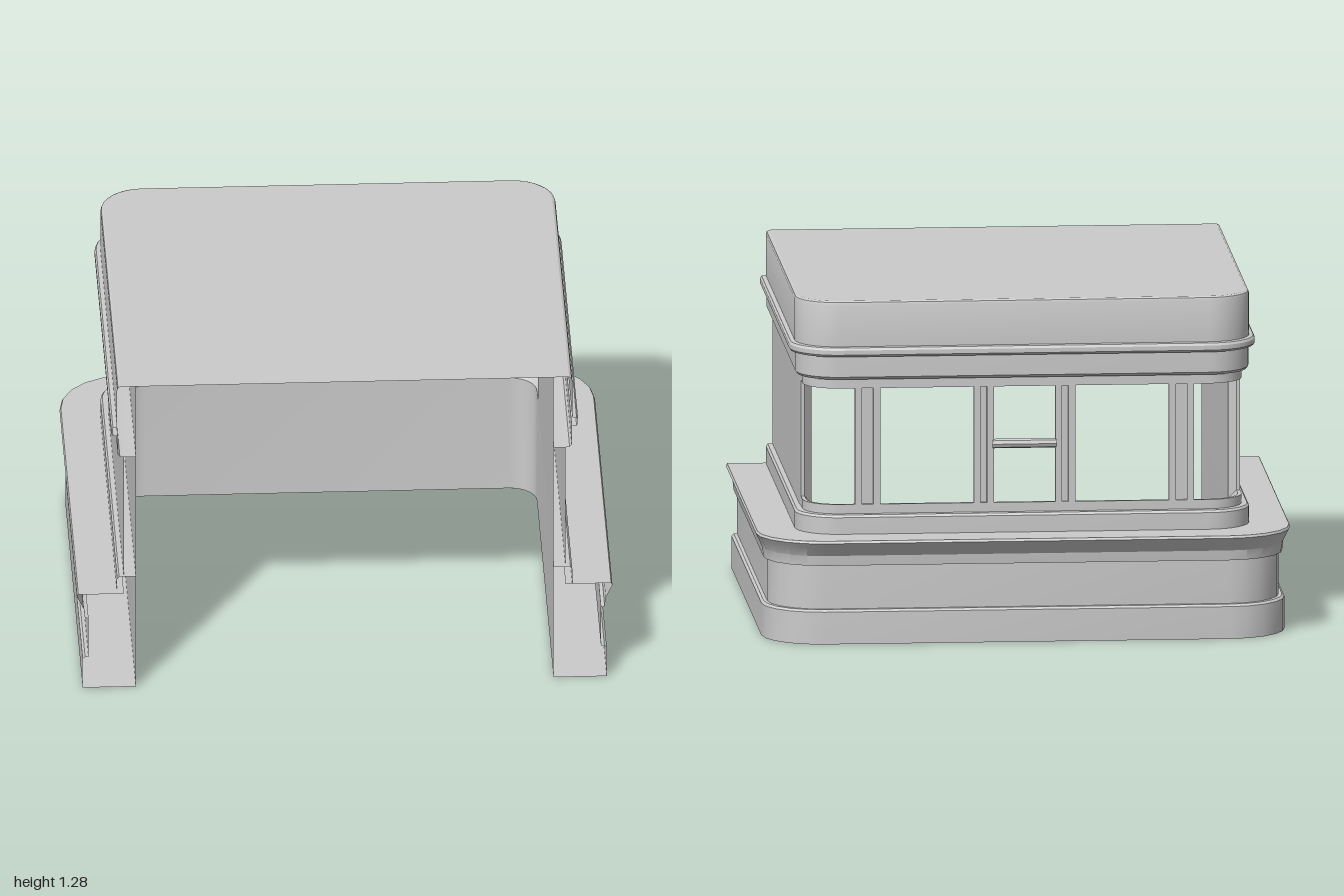
import * as THREE from 'three';
import { toCreasedNormals } from 'three/addons/utils/BufferGeometryUtils.js';

const FRONT = 0.84;
const mat = new THREE.MeshStandardMaterial({ color: 0xcccccc, side: THREE.DoubleSide });

// U-shaped plan line: left side, rounded back corners, right side
function plan(hx, zb, r, n, front) {
  const pts = [[hx, front]];
  for (let i = 0; i <= n; i++) {
    const a = (i / n) * Math.PI / 2;
    pts.push([hx - r + r * Math.cos(a), -(zb - r) - r * Math.sin(a)]);
  }
  return pts.concat(pts.map(([x, z]) => [-x, z]).reverse());
}

// Skin between plan lines; each row is [half width, back depth, corner radius, y]
function sweep(rows, n = 8, front = FRONT) {
  const pos = [], idx = [];
  const count = 2 * (n + 2);
  rows.forEach(([hx, zb, r, y]) => plan(hx, zb, r, n, front).forEach(([x, z]) => pos.push(x, y, z)));
  for (let j = 0; j < rows.length - 1; j++) {
    for (let i = 0; i < count - 1; i++) {
      const a = j * count + i, b = a + 1, c = a + count, d = c + 1;
      idx.push(a, b, d, a, d, c);
    }
  }
  const g = new THREE.BufferGeometry();
  g.setAttribute('position', new THREE.Float32BufferAttribute(pos, 3));
  g.setIndex(idx);
  return toCreasedNormals(g, 0.5);
}

// Vertical post from a plan outline of [x, z] points
function post(points, y0, y1) {
  const shape = new THREE.Shape(points.map(([x, z]) => new THREE.Vector2(x, -z)));
  const g = new THREE.ExtrudeGeometry(shape, { depth: y1 - y0, bevelEnabled: false });
  return g.rotateX(-Math.PI / 2).translate(0, y0, 0);
}

export function createModel() {
  const model = new THREE.Group();
  const add = (name, geometry) => {
    const m = new THREE.Mesh(geometry, mat);
    m.name = name;
    model.add(m);
    return m;
  };
  // Wall rows share one corner centre
  const wall = (hx, y) => [hx, hx - 0.158, hx - 0.69, y];
  const inner = (y) => [0.78, 0.62, 0.1, y];

  // Stepped base with flared ledge
  add('base', sweep([
    inner(0),
    [0.979, 0.8, 0.22, 0],
    [0.979, 0.8, 0.22, 0.122],
    [0.97, 0.79, 0.21, 0.13],
    [0.957, 0.775, 0.2, 0.13],
    [0.957, 0.775, 0.2, 0.295],
    [0.971, 0.795, 0.215, 0.297],
    [0.975, 0.8, 0.22, 0.335],
    [0.994, 0.83, 0.24, 0.375],
    [1.0, 0.84, 0.245, 0.388],
    [0.995, 0.835, 0.24, 0.397],
    [0.825, 0.667, 0.135, 0.397],
  ], 5));

  // Plinth course under the windows
  add('plinth', sweep([
    wall(0.85, 0.397), wall(0.85, 0.46), wall(0.843, 0.469), wall(0.822, 0.47), inner(0.47),
  ]));

  // Upper fascia with half-round band
  add('fascia', sweep([
    inner(0.98), wall(0.825, 0.98), wall(0.84, 0.982), wall(0.848, 0.992), wall(0.848, 1.07),
    wall(0.866, 1.072), wall(0.872, 1.08), wall(0.872, 1.097), wall(0.866, 1.106), wall(0.85, 1.108),
    wall(0.85, 1.265), wall(0.847, 1.275), wall(0.838, 1.28),
  ]));

  // Roof sheet
  const [rw, rd, rr] = wall(0.838, 0);
  const roof = new THREE.Shape(plan(rw, rd, rr, 8, FRONT).map(([x, z]) => new THREE.Vector2(x, -z)));
  add('roof', new THREE.ShapeGeometry(roof).rotateX(-Math.PI / 2).translate(0, 1.28, 0));

  // Interior lining below and above the windows
  add('lowerLining', sweep([inner(0.47), inner(0)]));
  add('upperLining', sweep([inner(1.28), inner(0.98)]));

  // Sill and head rails, splayed toward the inside
  const rail = (y, lip) => sweep([
    wall(0.822, y), wall(0.822, lip), wall(0.808, lip), inner(y),
  ], 8, -0.44);
  add('sillRail', rail(0.47, 0.505));
  add('headRail', rail(0.98, 0.945));

  for (const s of [1, -1]) {
    const side = s > 0 ? 'left' : 'right';
    // Solid side wall, hollow between two skins
    for (const [part, x] of [['OuterWall', 0.825], ['InnerWall', 0.78]]) {
      const g = new THREE.PlaneGeometry(FRONT + 0.44, 0.51).rotateY(s * Math.PI / 2);
      add(side + part, g.translate(s * x, 0.725, (FRONT - 0.44) / 2));
    }
    // Side jamb of the corner window
    add(side + 'Jamb', post([
      [s * 0.825, -0.44], [s * 0.822, -0.472], [s * 0.808, -0.472], [s * 0.78, -0.44],
    ], 0.47, 0.98));
    // Mullions: grooved outside, narrow ridge inside
    const mullions = [['OuterMullion', 0.54, 0.635], ['InnerMullion', 0.115, 0.19]];
    for (const [part, a, b] of mullions) {
      const m = (a + b) / 2;
      add(side + part, post([
        [a, -0.664], [a + 0.026, -0.664], [a + 0.026, -0.652], [b - 0.026, -0.652],
        [b - 0.026, -0.664], [b, -0.664], [b, -0.65], [m + 0.01, -0.62], [m - 0.01, -0.62], [a, -0.65],
      ].map(([x, z]) => [s * x, z]), 0.47, 0.98));
    }
  }

  // Crossbar of the middle window
  const bar = new THREE.CylinderGeometry(0.018, 0.018, 0.24, 8).rotateZ(Math.PI / 2);
  add('crossbar', toCreasedNormals(bar, 0.5).translate(0, 0.727, -0.656));

  return model;
}
